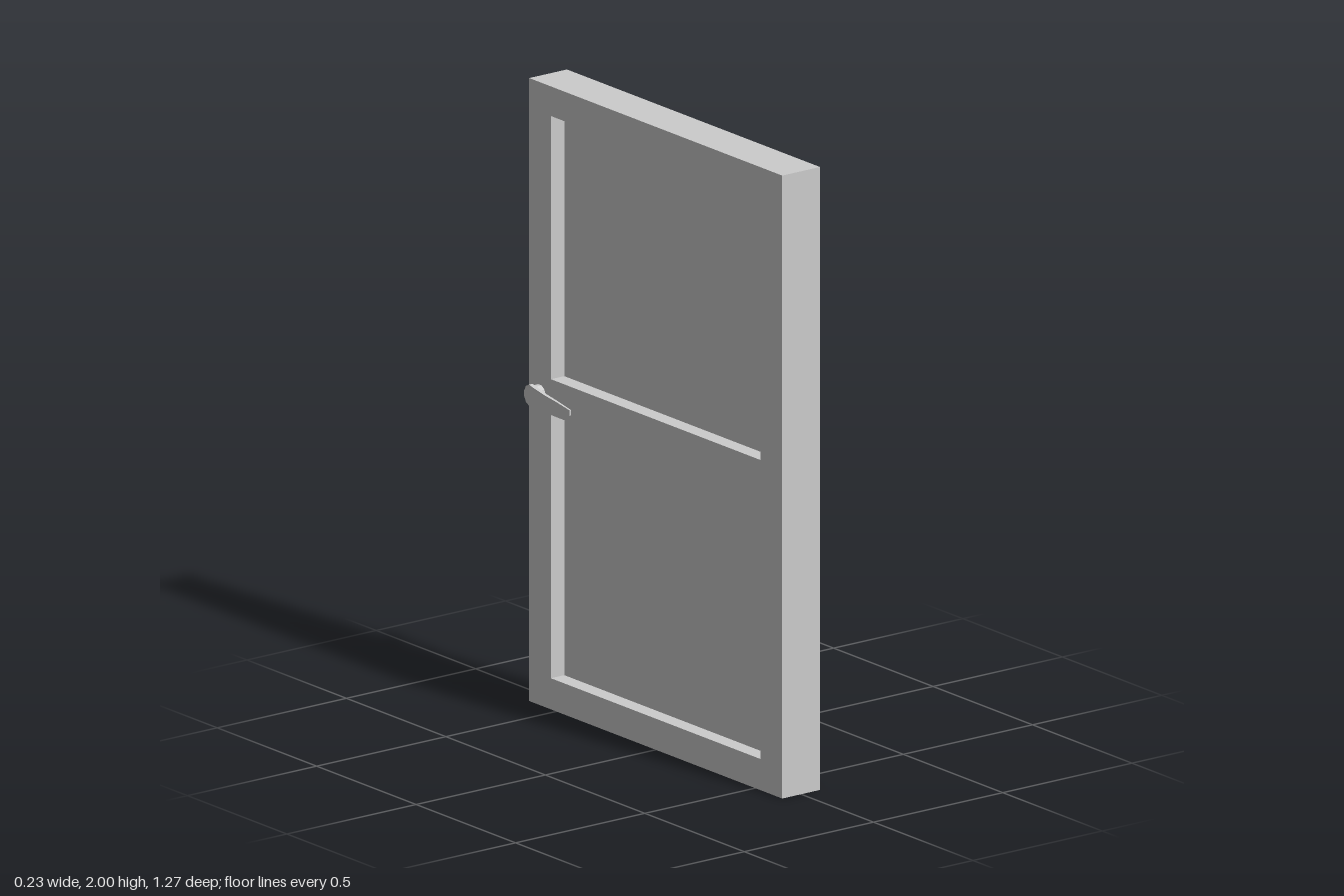
import * as THREE from 'three';

const material = new THREE.MeshStandardMaterial({ color: 0xcccccc, flatShading: true });

const HALF_THICK = 0.073, HALF_WIDTH = 0.636, HEIGHT = 2;
const OPENINGS = [[0.1, 0.945], [1.06, 1.905]]; // bottom and top of each recess
const OPEN_Z = 0.527;
const PANEL_THICK = 0.042;

function makeMesh(name, geometry) {
  const m = new THREE.Mesh(geometry, material);
  m.name = name;
  return m;
}

function rect(PathType, x0, y0, x1, y1) {
  return new PathType([[x0, y0], [x1, y0], [x1, y1], [x0, y1]].map(p => new THREE.Vector2(...p)));
}

// Extrude a (z, y) outline along x, centred on x = 0
function extrudeAlongX(shape, depth) {
  return new THREE.ExtrudeGeometry(shape, { depth, bevelEnabled: false })
    .translate(0, 0, -depth / 2)
    .rotateY(-Math.PI / 2);
}

// Lever outline: rounded hub at the back, narrow tip towards the front
function leverGeometry() {
  const points = [
    [-0.386, 1.001], [-0.45, 1.012], [-0.51, 1.02], [-0.56, 1.03], [-0.585, 1.036],
    [-0.601, 1.028], [-0.61, 1.01], [-0.609, 0.992], [-0.6, 0.976], [-0.585, 0.968],
    [-0.56, 0.973], [-0.51, 0.976], [-0.45, 0.979], [-0.386, 0.984],
  ].map(p => new THREE.Vector2(...p));
  const geometry = extrudeAlongX(new THREE.Shape(points), 0.014);
  // Thin the plate towards its tip
  const pos = geometry.attributes.position;
  for (let i = 0; i < pos.count; i++) {
    const t = THREE.MathUtils.clamp((pos.getZ(i) + 0.57) / 0.18, 0, 1);
    pos.setX(i, pos.getX(i) * (1 - 0.6 * t));
  }
  geometry.computeVertexNormals();
  return geometry;
}

export function createModel() {
  const model = new THREE.Group();
  model.name = 'door';

  // Frame with two rectangular openings
  const outline = rect(THREE.Shape, -HALF_WIDTH, 0, HALF_WIDTH, HEIGHT);
  for (const [y0, y1] of OPENINGS) outline.holes.push(rect(THREE.Path, -OPEN_Z, y0, OPEN_Z, y1));
  model.add(makeMesh('frame', extrudeAlongX(outline, HALF_THICK * 2)));

  // Recessed panels filling the openings
  OPENINGS.forEach(([y0, y1], i) => {
    const panel = makeMesh(i ? 'upperPanel' : 'lowerPanel',
      new THREE.BoxGeometry(PANEL_THICK, y1 - y0, OPEN_Z * 2));
    panel.position.y = (y0 + y1) / 2;
    model.add(panel);
  });

  // A handle on each face
  for (const side of [1, -1]) {
    const handle = new THREE.Group();
    handle.name = side > 0 ? 'leftHandle' : 'rightHandle';

    const spindle = makeMesh('spindle',
      new THREE.CylinderGeometry(0.028, 0.028, 0.04, 10).rotateZ(Math.PI / 2));
    spindle.position.set(side * 0.085, 1.002, -0.582);

    const lever = makeMesh('lever', leverGeometry());
    lever.position.x = side * 0.106;

    handle.add(spindle, lever);
    model.add(handle);
  }
  return model;
}
